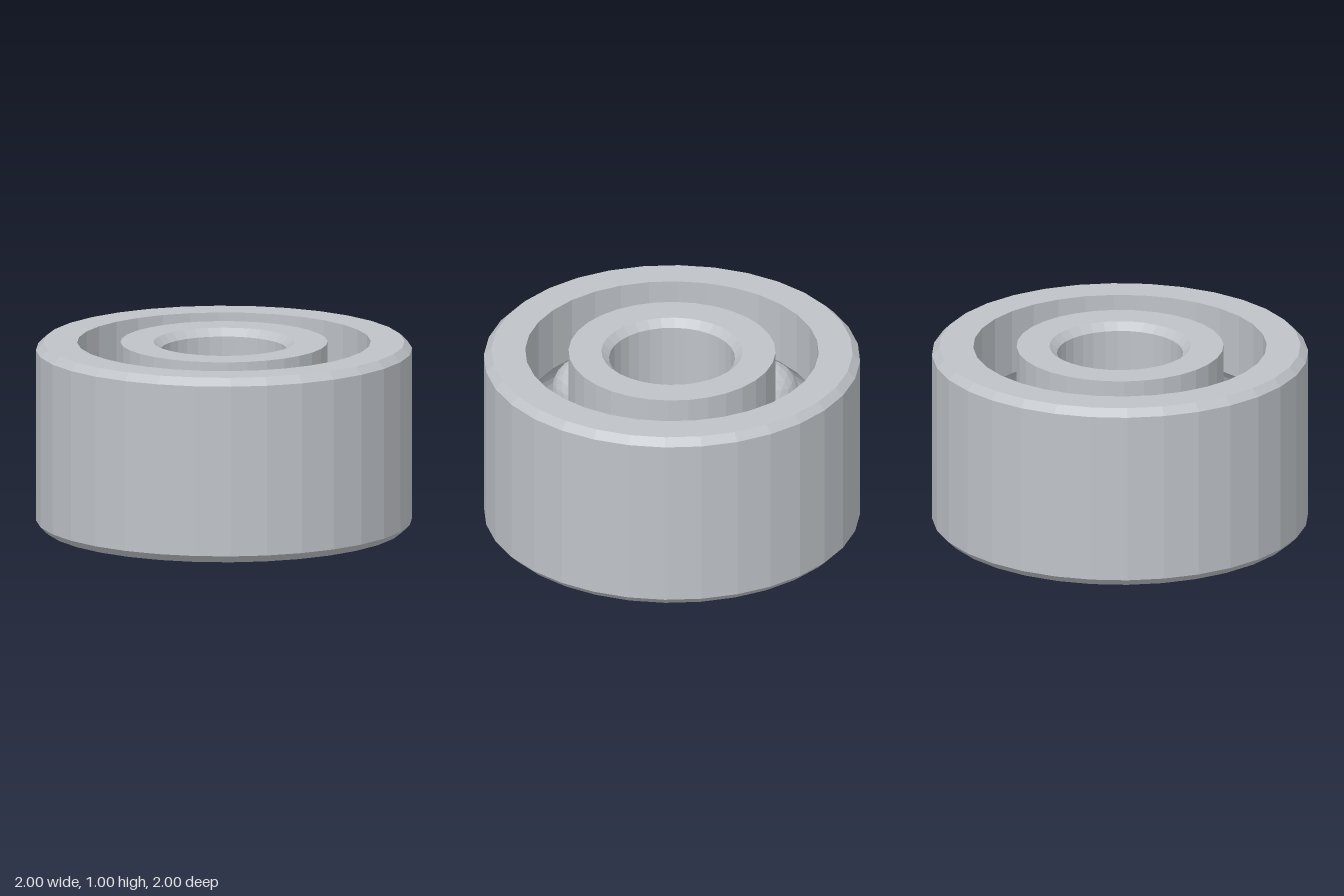
import * as THREE from 'three';

const SIDES = 32, MID = 0.5, PITCH = 0.667, BALL = 0.185, GROOVE = 0.187;

// Flat-faced copy of a geometry
function facet(geometry) {
  const g = geometry.index ? geometry.toNonIndexed() : geometry;
  g.computeVertexNormals();
  return g;
}

// Arc of the ball groove where it cuts a wall at the given radius
function groove(wall, steps = 10) {
  const side = Math.sign(wall - PITCH);
  const half = Math.acos(Math.abs(wall - PITCH) / GROOVE);
  return Array.from({ length: steps + 1 }, (_, i) => {
    const a = half * (1 - (2 * i) / steps);
    // outer race runs downward, inner race upward
    return [PITCH + side * GROOVE * Math.cos(a), MID + side * GROOVE * Math.sin(a)];
  });
}

function ring(name, profile, material) {
  const points = profile.map(([r, y]) => new THREE.Vector2(r, y));
  const mesh = new THREE.Mesh(facet(new THREE.LatheGeometry(points, SIDES)), material);
  mesh.name = name;
  return mesh;
}

export function createModel() {
  const model = new THREE.Group();
  model.name = 'ballBearing';
  const steel = new THREE.MeshStandardMaterial({ color: 0xbfc3c8 });
  steel.name = 'steel';

  // Outer ring: chamfered rim, grooved inner wall
  model.add(ring('outerRing', [
    [0.78, 0], [0.96, 0], [1, 0.04], [1, 0.96], [0.96, 1], [0.78, 1],
    ...groove(0.78), [0.78, 0],
  ], steel));

  // Inner ring: grooved outer wall, chamfered bore
  model.add(ring('innerRing', [
    [0.375, 0], [0.55, 0], ...groove(0.55), [0.55, 1], [0.375, 1],
    [0.335, 0.96], [0.335, 0.04], [0.375, 0],
  ], steel));

  // Eight balls, each with a vertex pointing up
  const ballGeometry = facet(new THREE.IcosahedronGeometry(BALL, 3));
  ballGeometry.rotateX(-Math.atan((1 + Math.sqrt(5)) / 2));
  const balls = new THREE.Group();
  balls.name = 'balls';
  for (let i = 0; i < 8; i++) {
    const a = (i * Math.PI) / 4;
    const ball = new THREE.Mesh(ballGeometry, steel);
    ball.name = 'ball';
    ball.position.set(PITCH * Math.cos(a), MID, PITCH * Math.sin(a));
    balls.add(ball);
  }
  model.add(balls);
  return model;
}
